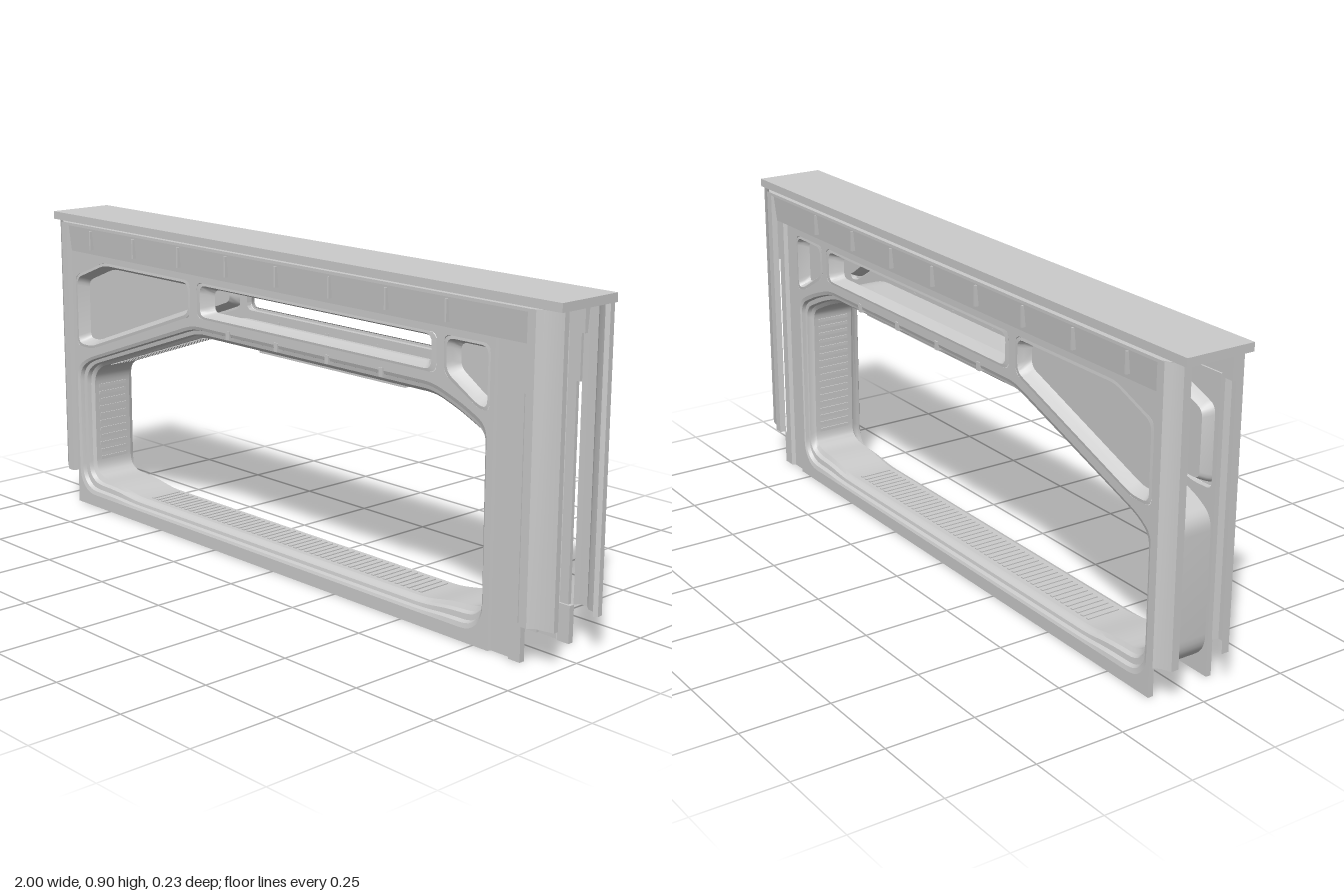
import * as THREE from 'three';
import { toCreasedNormals } from 'three/addons/utils/BufferGeometryUtils.js';

const mat = new THREE.MeshStandardMaterial({ color: 0xcccccc, side: THREE.DoubleSide });

function add(parent, name, geo) {
  const mesh = new THREE.Mesh(geo, mat);
  mesh.name = name;
  parent.add(mesh);
  return mesh;
}

function box(parent, name, x0, x1, y0, y1, z0, z1) {
  const mesh = add(parent, name, new THREE.BoxGeometry(x1 - x0, y1 - y0, z1 - z0));
  mesh.position.set((x0 + x1) / 2, (y0 + y1) / 2, (z0 + z1) / 2);
}

const toShape = corners => new THREE.Shape(corners.map(c => new THREE.Vector2(c[0], c[1])));

// Closed outline with every corner rounded; the point count depends only on the corner count
function rounded(corners, r, steps = 4) {
  const pts = corners.map(c => new THREE.Vector2(c[0], c[1]));
  const out = [];
  pts.forEach((p, i) => {
    const a = pts[(i + pts.length - 1) % pts.length], b = pts[(i + 1) % pts.length];
    const ra = Math.min(r, p.distanceTo(a) * 0.45), rb = Math.min(r, p.distanceTo(b) * 0.45);
    const s = p.clone().lerp(a, ra / p.distanceTo(a)), e = p.clone().lerp(b, rb / p.distanceTo(b));
    out.push(...new THREE.QuadraticBezierCurve(s, p, e).getPoints(steps));
  });
  return out;
}

// Skin through rings of equal point count; each ring is [points, z]
function loft(rings, closed = true) {
  const n = rings[0][0].length, pos = [], idx = [];
  for (const [pts, z] of rings) for (const p of pts) pos.push(p.x, p.y, z);
  for (let k = 0; k < rings.length - 1; k++) {
    for (let i = 0; i < (closed ? n : n - 1); i++) {
      const a = k * n + i, b = k * n + (i + 1) % n;
      idx.push(a, b, a + n, b, b + n, a + n);
    }
  }
  const geo = new THREE.BufferGeometry();
  geo.setAttribute('position', new THREE.Float32BufferAttribute(pos, 3));
  geo.setIndex(idx);
  return toCreasedNormals(geo, 0.6);
}

// Folded sheet: plan points [x, z] raised from y0 to y1
function foldedPost(parent, name, plan, y0, y1) {
  const pts = plan.map(p => new THREE.Vector2(p[0], -p[1]));
  const geo = loft([[pts, y0], [pts, y1]], false);
  geo.rotateX(-Math.PI / 2);
  add(parent, name, geo);
}

const mix = (a, b, t) => a.map((p, i) => p.clone().lerp(b[i], t));

// Doorway outline at the panel face and at the inner tunnel, whose sill rises at both ends
const doorOuter = rounded([[-0.86, 0.036], [-0.9, 0.08], [-0.9, 0.43], [-0.85, 0.465], [-0.34, 0.645],
  [0.6, 0.645], [0.7, 0.61], [0.78, 0.57], [0.78, 0.08], [0.74, 0.036],
  [0.66, 0.036], [0.56, 0.036], [-0.64, 0.036], [-0.74, 0.036]], 0.035);
const doorInner = rounded([[-0.83, 0.085], [-0.86, 0.11], [-0.86, 0.4], [-0.83, 0.437], [-0.33, 0.608],
  [0.58, 0.608], [0.66, 0.58], [0.757, 0.535], [0.767, 0.11], [0.735, 0.088],
  [0.66, 0.084], [0.56, 0.066], [-0.64, 0.066], [-0.74, 0.082]], 0.03);

// Recesses above the doorway: outer corners, inner corners, has a back plate
const recesses = [
  ['sideRecess', [[-0.895, 0.5], [-0.895, 0.715], [-0.75, 0.772], [-0.345, 0.772], [-0.345, 0.67], [-0.82, 0.5]],
    [[-0.87, 0.522], [-0.87, 0.7], [-0.745, 0.75], [-0.37, 0.75], [-0.37, 0.688], [-0.825, 0.522]], true],
  ['slotRecess', [[-0.315, 0.67], [-0.315, 0.772], [0.61, 0.772], [0.61, 0.67]],
    [[-0.275, 0.688], [-0.275, 0.753], [0.565, 0.753], [0.565, 0.688]], false],
  ['cornerRecess', [[0.635, 0.675], [0.635, 0.772], [0.787, 0.772], [0.787, 0.605], [0.75, 0.608]],
    [[0.662, 0.69], [0.662, 0.752], [0.768, 0.752], [0.768, 0.628], [0.75, 0.632]], true],
];

function createSide(name) {
  const side = new THREE.Group();
  side.name = name;

  // Wall panel with cut-outs
  const shape = toShape([[-0.91, 0], [0.8, 0], [0.8, 0.8], [-0.91, 0.8]]);
  shape.holes.push(new THREE.Path(doorOuter));
  for (const r of recesses) shape.holes.push(new THREE.Path(rounded(r[1], 0.02)));
  const panel = new THREE.ExtrudeGeometry(shape, { depth: 0.015, bevelEnabled: false });
  panel.translate(0, 0, 0.085);
  add(side, 'wallPanel', panel);

  // Stepped splay leading into the doorway
  add(side, 'doorSplay', loft([[doorOuter, 0.1], [mix(doorOuter, doorInner, 0.25), 0.097],
    [mix(doorOuter, doorInner, 0.35), 0.086], [mix(doorOuter, doorInner, 0.65), 0.084],
    [mix(doorOuter, doorInner, 0.75), 0.072], [doorInner, 0.065]]));

  // Recess rims and back plates
  for (const [label, outer, inner, plate] of recesses) {
    const o = rounded(outer, 0.025), i = rounded(inner, 0.02);
    add(side, label + 'Rim', loft([[o, 0.1], [mix(o, i, 0.35), 0.101], [mix(o, i, 0.6), 0.085], [i, 0.067]]));
    if (plate) {
      const back = new THREE.ShapeGeometry(new THREE.Shape(i));
      back.translate(0, 0, 0.067);
      add(side, label + 'Plate', back);
    }
  }

  // Header band with slim clips and a chamfered lip
  const band = toShape([[-0.09, 0.87], [-0.108, 0.87], [-0.1, 0.79], [-0.09, 0.79]]);
  const bandGeo = new THREE.ExtrudeGeometry(band, { depth: 1.86, bevelEnabled: false });
  bandGeo.rotateY(Math.PI / 2);
  bandGeo.translate(-0.945, 0, 0);
  add(side, 'headerBand', bandGeo);
  for (let i = 0; i < 8; i++) {
    const x = -0.8 + i * 0.207;
    box(side, 'headerClip', x - 0.003, x + 0.003, 0.805, 0.862, 0.098, 0.113);
  }
  const lip = toShape([[-0.95, -0.09], [-0.95, -0.104], [-0.925, -0.115], [0.92, -0.115], [0.945, -0.104], [0.945, -0.09]]);
  const lipGeo = new THREE.ExtrudeGeometry(lip, { depth: 0.008, bevelEnabled: false });
  lipGeo.rotateX(-Math.PI / 2);
  lipGeo.translate(0, 0.869, 0);
  add(side, 'headerLip', lipGeo);

  // Folded end posts
  foldedPost(side, 'rightEndPost', [[0.99, 0.068], [1, 0.075], [1, 0.09], [0.95, 0.1], [0.935, 0.115],
    [0.91, 0.115], [0.905, 0.098]], 0.1, 0.877);
  foldedPost(side, 'leftEndPost', [[-0.98, 0.068], [-0.98, 0.09], [-0.955, 0.1], [-0.94, 0.115],
    [-0.915, 0.115], [-0.91, 0.098]], 0.1, 0.877);

  // Channel beside the panel with a notched flange
  foldedPost(side, 'sideChannel', [[0.8, 0.1], [0.803, 0.09], [0.86, 0.09], [0.868, 0.1]], 0, 0.8);
  box(side, 'flangeFoot', 0.868, 0.905, 0, 0.1, 0.084, 0.1);
  box(side, 'flange', 0.868, 0.895, 0.1, 0.67, 0.09, 0.1);
  box(side, 'flangeHead', 0.868, 0.905, 0.67, 0.8, 0.09, 0.1);

  // Small lugs over the doorway
  for (let i = 0; i < 4; i++) {
    const x = -0.18 + i * 0.2;
    box(side, 'lintelLug', x - 0.007, x + 0.007, 0.628, 0.652, 0.084, 0.103);
  }
  return side;
}

export function createModel() {
  const model = new THREE.Group();
  model.name = 'doorwayFrame';

  // Top slab
  box(model, 'topSlab', -1, 1, 0.877, 0.9, -0.1, 0.1);

  // Two mirrored faces
  model.add(createSide('frontSide'));
  const back = createSide('backSide');
  back.scale.z = -1;
  model.add(back);

  // Tunnel between the faces: inner lining, outer shell and a ceiling pad
  add(model, 'tunnelLining', loft([[doorInner, 0.065], [doorInner, -0.065]]));
  add(model, 'tunnelShell', loft([[doorOuter, 0.085], [doorOuter, -0.085]]));
  box(model, 'ceilingPad', -0.1, 0.46, 0.599, 0.61, -0.055, 0.055);

  // Tread ribs along the straight runs of the tunnel
  const runs = [[-0.6, 0.066, 0.52, 0.066], [-0.86, 0.14, -0.86, 0.37], [-0.79, 0.451, -0.37, 0.594],
    [0.766, 0.14, 0.758, 0.5]];
  for (const [x0, y0, x1, y1] of runs) {
    const count = Math.round(Math.hypot(x1 - x0, y1 - y0) / 0.022);
    for (let i = 0; i <= count; i++) {
      const t = i / count;
      const rib = add(model, 'treadRib', new THREE.BoxGeometry(0.01, 0.006, 0.1));
      rib.position.set(x0 + (x1 - x0) * t, y0 + (y1 - y0) * t, 0);
      rib.rotation.z = Math.atan2(y1 - y0, x1 - x0);
    }
  }
  return model;
}
